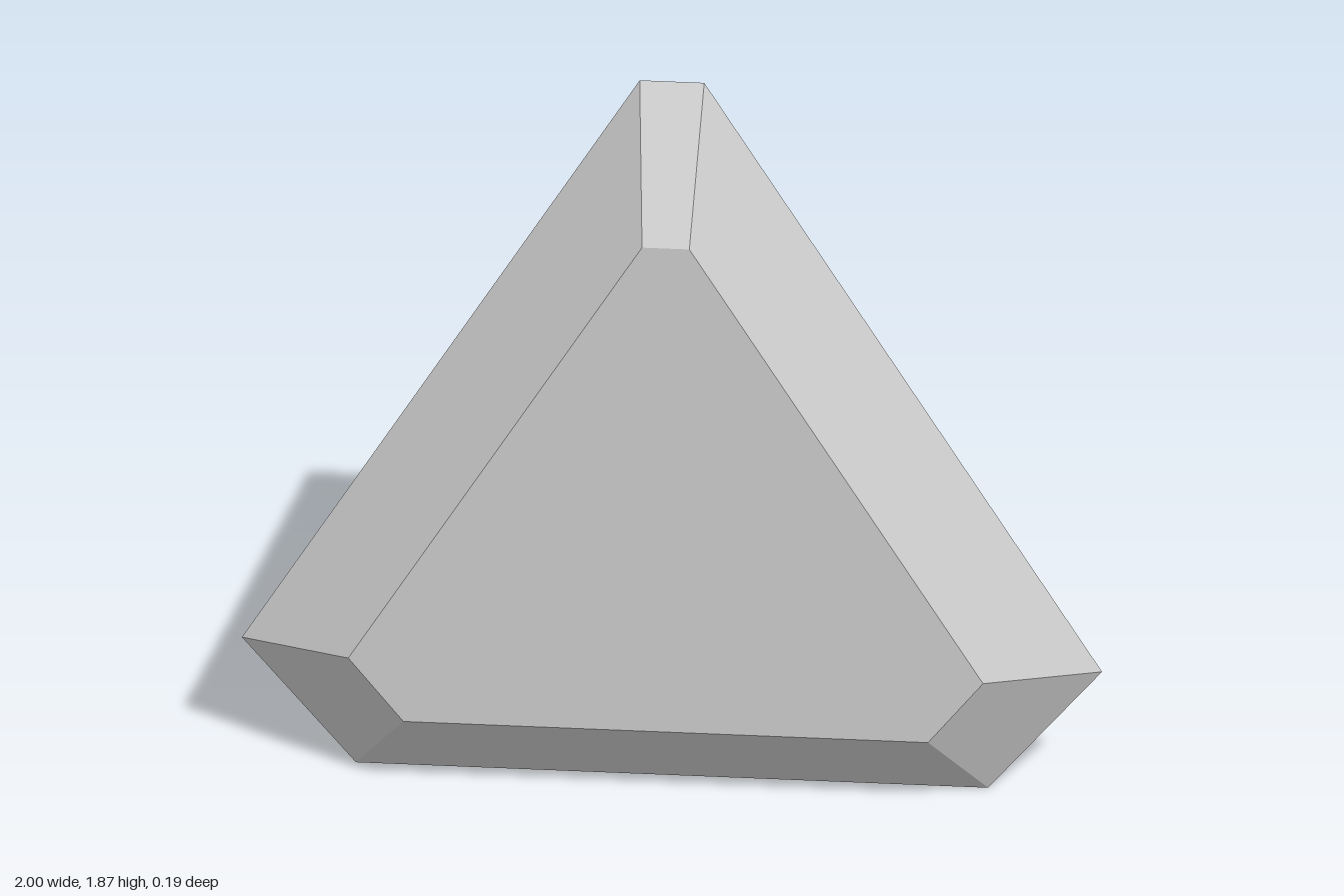
import * as THREE from 'three';

const DEPTH = 0.093;

// Right half of each outline, bottom to top; the left half is mirrored.
const OUTER = [[0.735, 0], [1, 0.325], [0.075, 1.87]];
const INNER = [[0.61, 0.226], [0.738, 0.391], [0.055, 1.53]];

// Full counter-clockwise outline at depth z
function outline(half, z) {
  const left = half.map(([x, y]) => [-x, y]).reverse();
  return [...half, ...left].map(([x, y]) => new THREE.Vector3(x, y, z));
}

function surface(name, points, material) {
  const geometry = new THREE.BufferGeometry().setFromPoints(points);
  geometry.computeVertexNormals();
  const mesh = new THREE.Mesh(geometry, material);
  mesh.name = name;
  return mesh;
}

export function createModel() {
  const group = new THREE.Group();
  group.name = 'bevelledTriangleShell';
  const grey = new THREE.MeshStandardMaterial({ color: 0xcccccc });
  grey.name = 'light grey';
  grey.side = THREE.DoubleSide;

  const back = outline(OUTER, -DEPTH);
  const front = outline(INNER, DEPTH);

  // Flat front panel, as a fan
  const panel = [];
  for (let i = 1; i < front.length - 1; i++) panel.push(front[0], front[i], front[i + 1]);
  group.add(surface('frontPanel', panel, grey));

  // Sloping rim around the panel; the back stays open
  const rim = [];
  for (let i = 0; i < back.length; i++) {
    const j = (i + 1) % back.length;
    rim.push(back[i], back[j], front[j], back[i], front[j], front[i]);
  }
  group.add(surface('bevelledRim', rim, grey));

  return group;
}
